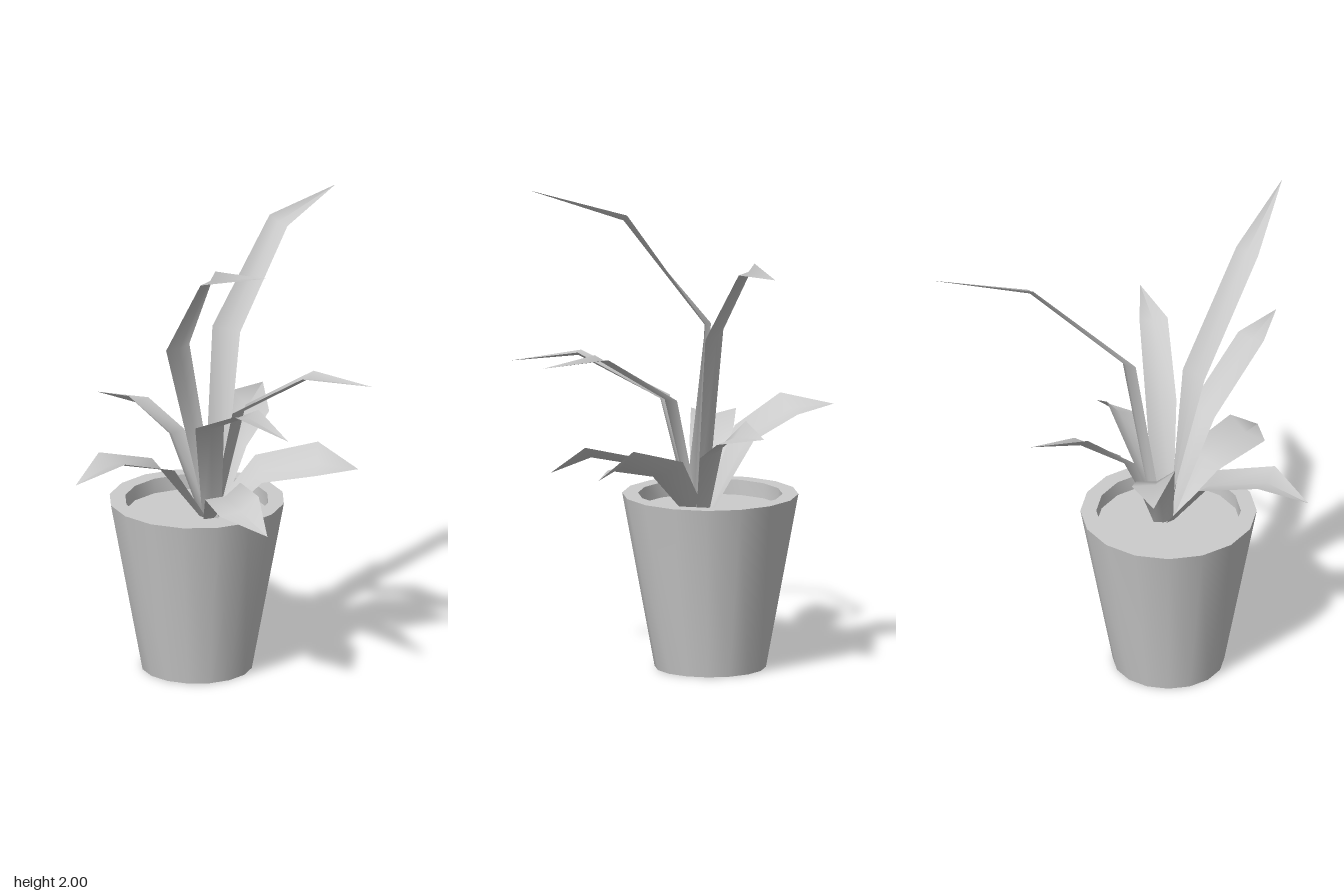
import * as THREE from 'three';
import { toCreasedNormals } from 'three/addons/utils/BufferGeometryUtils.js';

const POT_X = -0.165, POT_Z = -0.17, SIDES = 16;
const grey = new THREE.MeshStandardMaterial({ color: 0xcccccc });
const leafGrey = new THREE.MeshStandardMaterial({ color: 0xcccccc, side: THREE.DoubleSide });

// Each leaf: roll about its own length, then stations [x, y, z, width] outwards to the tip
const LEAVES = {
  tallRightLeaf: [0.55, [0.01, 1.46, -0.20, 0.12], [0.39, 1.82, -0.35, 0.09], [0.785, 1.86, -0.485, 0]],
  tallFrontLeaf: [0.5, [-0.275, 1.45, -0.15, 0.11], [-0.37, 1.88, 0.20, 0.10], [-0.365, 2.0, 0.60, 0]],
  midFrontRightLeaf: [0, [-0.06, 1.17, 0.0, 0.13], [0.09, 1.37, 0.28, 0.12], [0.25, 1.36, 0.52, 0]],
  midFrontLeaf: [0.1, [-0.24, 1.14, 0.03, 0.13], [-0.31, 1.315, 0.39, 0.12], [-0.305, 1.28, 0.68, 0]],
  leftLeaf: [0, [-0.35, 0.93, -0.165, 0.18], [-0.61, 1.01, -0.165, 0.19], [-0.80, 0.94, -0.165, 0]],
  backLeaf: [0.35, [-0.17, 1.0, -0.32, 0.17], [-0.235, 1.11, -0.50, 0.19], [-0.31, 1.105, -0.685, 0]],
  lowRightLeaf: [0.5, [0.02, 0.96, -0.19, 0.15], [0.19, 1.07, -0.28, 0.18], [0.36, 1.085, -0.42, 0]],
  lowFrontRightLeaf: [0.6, [0.04, 0.88, 0.0, 0.16], [0.20, 0.945, 0.19, 0.18], [0.35, 0.90, 0.28, 0]],
  lowFrontLeaf: [0.35, [-0.22, 0.86, 0.10, 0.17], [-0.31, 0.88, 0.34, 0.19], [-0.29, 0.80, 0.51, 0]],
};

// Folded blade: a shallow V cross-section swept along the stations
function leafGeometry(roll, stations) {
  const tip = stations[stations.length - 1];
  const heading = new THREE.Vector3(tip[0] + 0.14, 0, tip[2] + 0.14).normalize();
  const rows = [[-0.13 + heading.x * 0.03, 0.67, -0.13 + heading.z * 0.03, 0.08], ...stations];
  const centres = rows.map(([x, y, z]) => new THREE.Vector3(x, y, z));
  const positions = [], index = [];
  rows.forEach(([, , , width], i) => {
    const along = centres[Math.min(i + 1, rows.length - 1)].clone()
      .sub(centres[Math.max(i - 1, 0)]).normalize();
    const side = new THREE.Vector3(along.z, 0, -along.x).normalize().applyAxisAngle(along, roll);
    const up = along.clone().cross(side);
    for (const s of [-1, 0, 1]) {
      const p = centres[i].clone().addScaledVector(side, s * width / 2)
        .addScaledVector(up, (s === 0 ? -0.08 : 0.06) * width);
      positions.push(p.x, p.y, p.z);
    }
    if (i === 0) return;
    for (let k = 0; k < 2; k++) {
      const a = (i - 1) * 3 + k, b = a + 3;
      index.push(a, a + 1, b + 1, a, b + 1, b);
    }
  });
  const geometry = new THREE.BufferGeometry();
  geometry.setAttribute('position', new THREE.Float32BufferAttribute(positions, 3));
  geometry.setIndex(index);
  geometry.computeVertexNormals();
  return geometry;
}

export function createModel() {
  const model = new THREE.Group();
  model.name = 'pottedPlant';

  // Tapered pot with a flat rim and straight inner wall
  const profile = [[0, 0], [0.235, 0], [0.372, 0.745], [0.305, 0.745], [0.305, 0.66]]
    .map(([r, y]) => new THREE.Vector2(r, y));
  const pot = new THREE.Mesh(toCreasedNormals(new THREE.LatheGeometry(profile, SIDES), 0.6), grey);
  pot.name = 'pot';
  pot.position.set(POT_X, 0, POT_Z);
  model.add(pot);

  // Soil just below the rim
  const soil = new THREE.Mesh(new THREE.CircleGeometry(0.305, SIDES), grey);
  soil.name = 'soil';
  soil.rotation.x = -Math.PI / 2;
  soil.position.set(POT_X, 0.68, POT_Z);
  model.add(soil);

  // Leaves fanning out of the crown
  for (const [name, [roll, ...stations]] of Object.entries(LEAVES)) {
    const leaf = new THREE.Mesh(leafGeometry(roll, stations), leafGrey);
    leaf.name = name;
    model.add(leaf);
  }
  return model;
}
